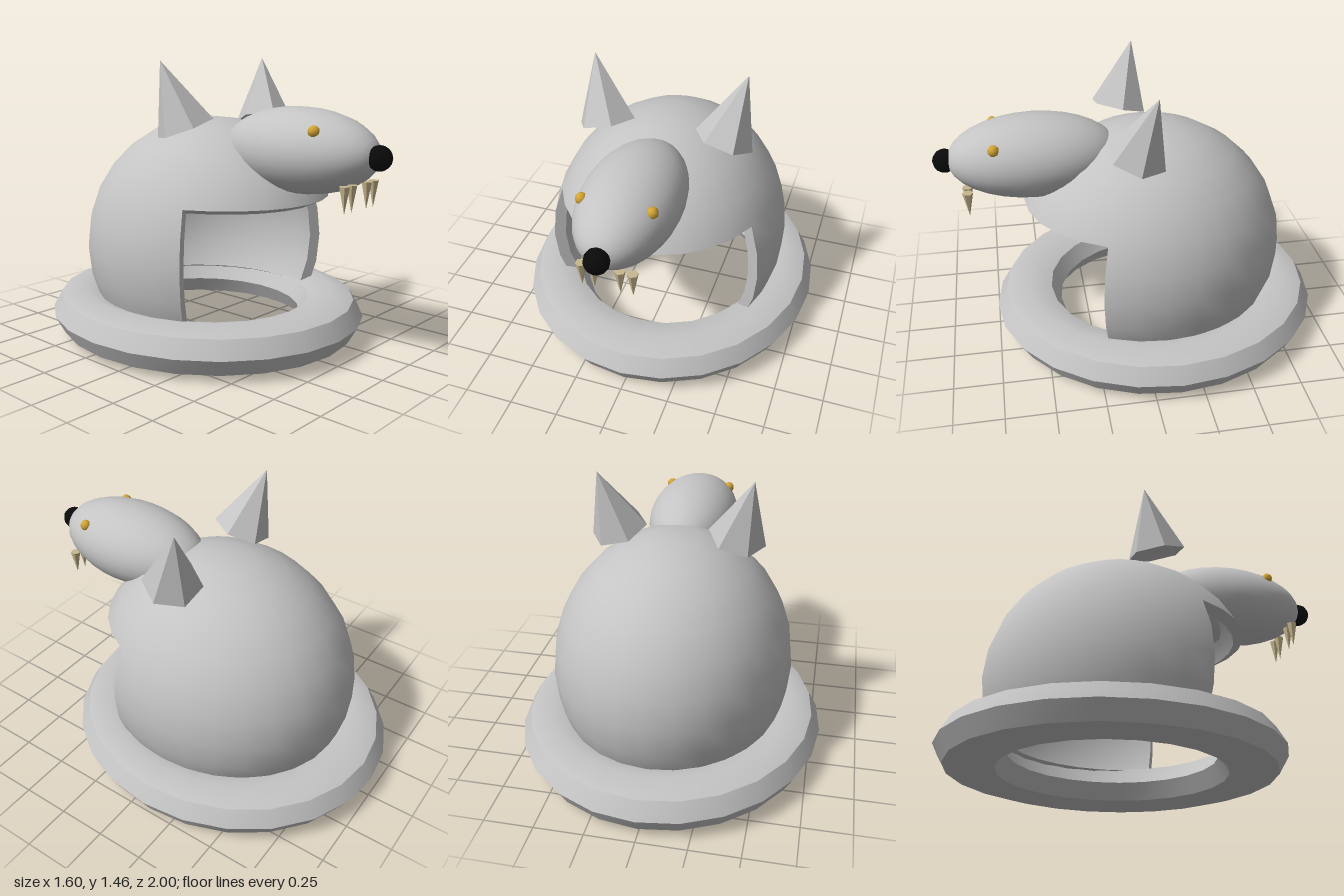
import * as THREE from 'three';
import { toCreasedNormals } from 'three/addons/utils/BufferGeometryUtils.js';

function material(name, color, side = THREE.FrontSide) {
  const m = new THREE.MeshStandardMaterial({ color, side });
  m.name = name;
  return m;
}

export function createModel() {
  const model = new THREE.Group();
  const grey = material('grey', 0xc4c4c4, THREE.DoubleSide);
  const black = material('black', 0x0a0a0a);
  const gold = material('gold', 0xd4a535);
  const bone = material('bone', 0xc8b890);

  function add(parent, name, geometry, mat, x = 0, y = 0, z = 0) {
    const mesh = new THREE.Mesh(geometry, mat);
    mesh.name = name;
    mesh.position.set(x, y, z);
    parent.add(mesh);
    return mesh;
  }

  // Base: flattened ring with an octagonal section
  const ring = new THREE.TorusGeometry(0.64, 0.16, 8, 24);
  ring.rotateX(Math.PI / 2).scale(1, 0.78, 1.094);
  add(model, 'baseRing', toCreasedNormals(ring, 0.7), grey, 0, 0.125, -0.125);

  // Domed shelter: outer and inner walls with an opening at the front
  const shelter = new THREE.Group();
  shelter.name = 'shelter';
  shelter.position.set(0, 0.48, -0.08);
  model.add(shelter);
  const outer = [0.625, 0.69, 0.715];
  const inner = [0.565, 0.63, 0.655];
  const cell = Math.PI / 14;
  const lipRow = 5, endRow = 9, openStart = 2, openEnd = 12;

  for (const [label, size] of [['outer', outer], ['inner', inner]]) {
    const roof = new THREE.SphereGeometry(1, 28, lipRow, 0, 28 * cell, 0, lipRow * cell);
    add(shelter, label + 'Roof', roof.scale(...size), grey);
    const wall = new THREE.SphereGeometry(1, 18, endRow - lipRow,
      openEnd * cell, 18 * cell, lipRow * cell, (endRow - lipRow) * cell);
    add(shelter, label + 'Wall', wall.scale(...size), grey);
  }

  // Strips that close the wall thickness; each path entry is [column, row]
  function rim(name, path) {
    const points = [], index = [];
    path.forEach(([column, row], i) => {
      const phi = column * cell, theta = row * cell;
      for (const [a, b, c] of [outer, inner]) {
        points.push(-a * Math.cos(phi) * Math.sin(theta), b * Math.cos(theta),
          c * Math.sin(phi) * Math.sin(theta));
      }
      if (i) index.push(2 * i - 2, 2 * i - 1, 2 * i, 2 * i - 1, 2 * i + 1, 2 * i);
    });
    const g = new THREE.BufferGeometry();
    g.setAttribute('position', new THREE.Float32BufferAttribute(points, 3));
    g.setIndex(index);
    g.computeVertexNormals();
    add(shelter, name, g, grey);
  }
  const range = (from, to, fn) =>
    Array.from({ length: Math.abs(to - from) + 1 }, (_, i) => fn(from + i * Math.sign(to - from)));
  rim('openingLip', range(openEnd, openStart, c => [c, lipRow]));
  rim('leftJamb', range(lipRow, endRow, r => [openEnd, r]));
  rim('rightJamb', range(endRow, lipRow, r => [openStart, r]));
  rim('wallFoot', range(openEnd, openStart + 28, c => [c, endRow]));

  // Head
  const head = new THREE.SphereGeometry(1, 28, 16).rotateX(Math.PI / 2);
  add(model, 'head', head.scale(0.24, 0.21, 0.43), grey, 0, 1.04, 0.5);
  const nose = new THREE.SphereGeometry(0.06, 12, 8);
  add(model, 'nose', nose, black, 0, 1.04, 0.94);

  // Paired ears, eyes and teeth
  const earGeometry = new THREE.ConeGeometry(0.15, 0.35, 6).rotateY(Math.PI / 6)
    .translate(0, 0.175, 0);
  const toothGeometry = new THREE.ConeGeometry(0.027, 0.13, 6).rotateX(Math.PI);
  const ear = toCreasedNormals(earGeometry, 0.3);
  const tooth = toCreasedNormals(toothGeometry, 0.3);
  const eye = new THREE.SphereGeometry(0.029, 8, 6);
  const up = new THREE.Vector3(0, 1, 0);
  for (const [side, s] of [['left', 1], ['right', -1]]) {
    const lean = new THREE.Vector3(s * 0.085, 0.33, -0.085).normalize();
    add(model, side + 'Ear', ear, grey, s * 0.305, 1.135, 0.025)
      .quaternion.setFromUnitVectors(up, lean);
    add(model, side + 'Eye', eye, gold, s * 0.165, 1.155, 0.695);
    add(model, side + 'InnerTooth', tooth, bone, s * 0.062, 0.85, 0.84);
    add(model, side + 'OuterTooth', tooth, bone, s * 0.122, 0.85, 0.84);
  }
  return model;
}
